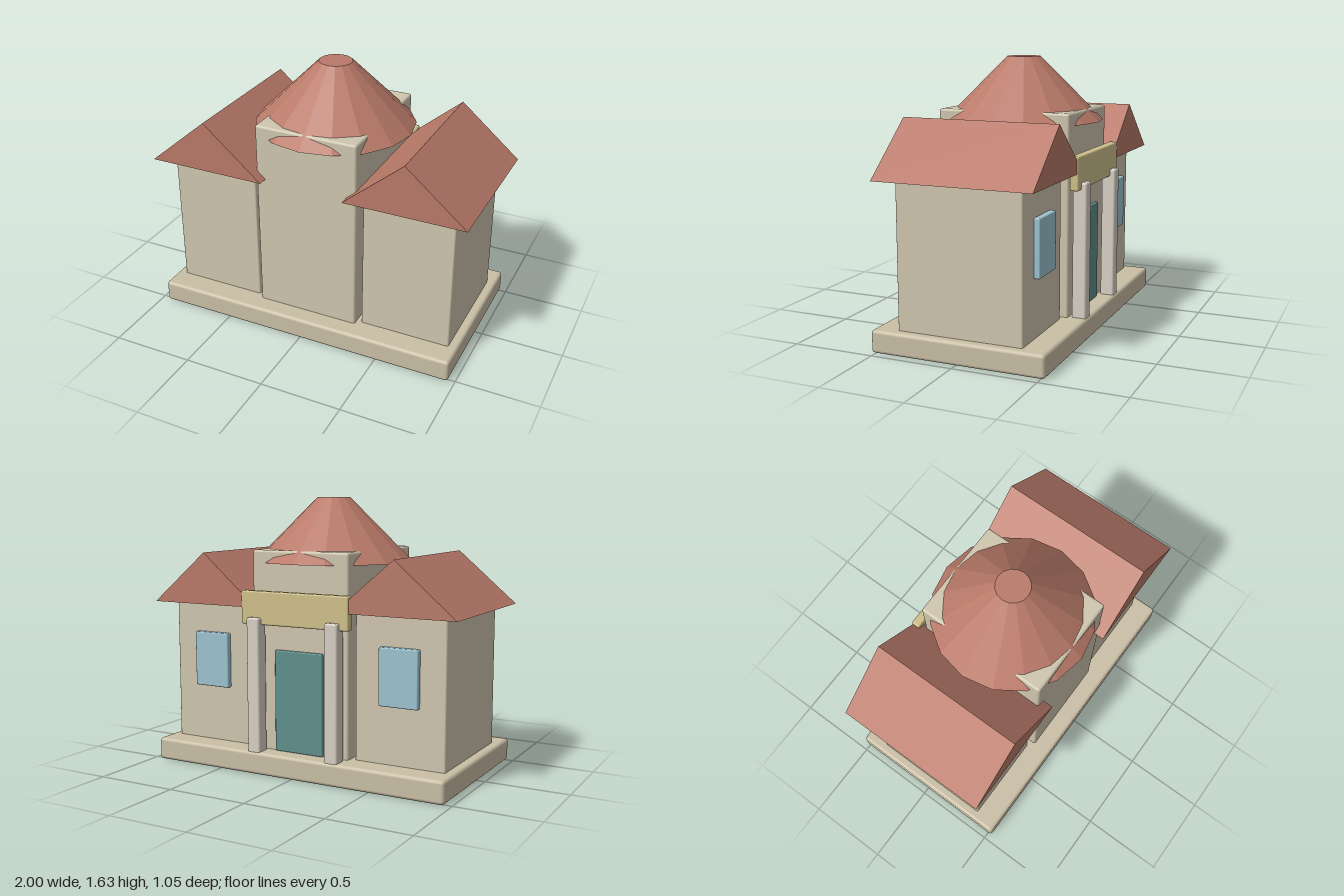
import * as THREE from 'three';
import { RoundedBoxGeometry } from 'three/addons/geometries/RoundedBoxGeometry.js';

const mat = (color, flatShading = false) => new THREE.MeshStandardMaterial({ color, flatShading });

export function createModel() {
  const model = new THREE.Group();
  const wall = mat(0xcfc6ae), plinth = mat(0xcabfa6), roof = mat(0xb97a69, true);
  const stone = mat(0xd8d0c4), gold = mat(0xcfc08a), teal = mat(0x5f8f8b), glass = mat(0x9cc3d0);

  const add = (name, geometry, material) => {
    const mesh = new THREE.Mesh(geometry, material);
    mesh.name = name;
    model.add(mesh);
    return mesh;
  };
  // Rounded block given by its extents on each axis
  const block = (name, [x0, x1], [y0, y1], [z0, z1], radius, material) =>
    add(name, new RoundedBoxGeometry(x1 - x0, y1 - y0, z1 - z0, 2, radius), material)
      .position.set((x0 + x1) / 2, (y0 + y1) / 2, (z0 + z1) / 2);

  // Plinth and central tower
  block('base', [-0.96, 0.96], [0, 0.135], [-0.525, 0.525], 0.02, plinth);
  block('tower', [-0.32, 0.32], [0.1, 1.325], [-0.412, 0.412], 0.015, wall);

  // Truncated conical roof
  add('towerRoof', new THREE.CylinderGeometry(0.1, 0.48, 0.38, 16), roof).position.y = 1.44;

  // Solid gable with its ridge along z
  const gable = new THREE.Shape([
    new THREE.Vector2(-0.37, 0.99), new THREE.Vector2(0.37, 0.99), new THREE.Vector2(0, 1.302),
  ]);
  const gableGeometry = new THREE.ExtrudeGeometry(gable, { depth: 0.95, bevelEnabled: false });
  gableGeometry.translate(0, 0, -0.475);

  // Wings, roofs, windows and porch columns on both sides
  for (const [side, s] of [['left', 1], ['right', -1]]) {
    const span = (centre, half) => [s * centre - half, s * centre + half];
    block(side + 'Wing', span(0.628, 0.278), [0.1, 1.02], [-0.378, 0.378], 0.01, wall);
    add(side + 'WingRoof', gableGeometry, roof).position.x = s * 0.63;
    block(side + 'Window', span(0.63, 0.12), [0.475, 0.81], [-0.412, -0.37], 0.008, glass);
    block(side + 'Column', span(0.26, 0.042), [0.12, 0.935], [-0.515, -0.43], 0.012, stone);
  }

  // Entrance at the back
  block('door', [-0.16, 0.16], [0.135, 0.742], [-0.43, -0.39], 0.008, teal);
  block('porchBeam', [-0.356, 0.356], [0.892, 1.09], [-0.483, -0.43], 0.01, gold);

  return model;
}
